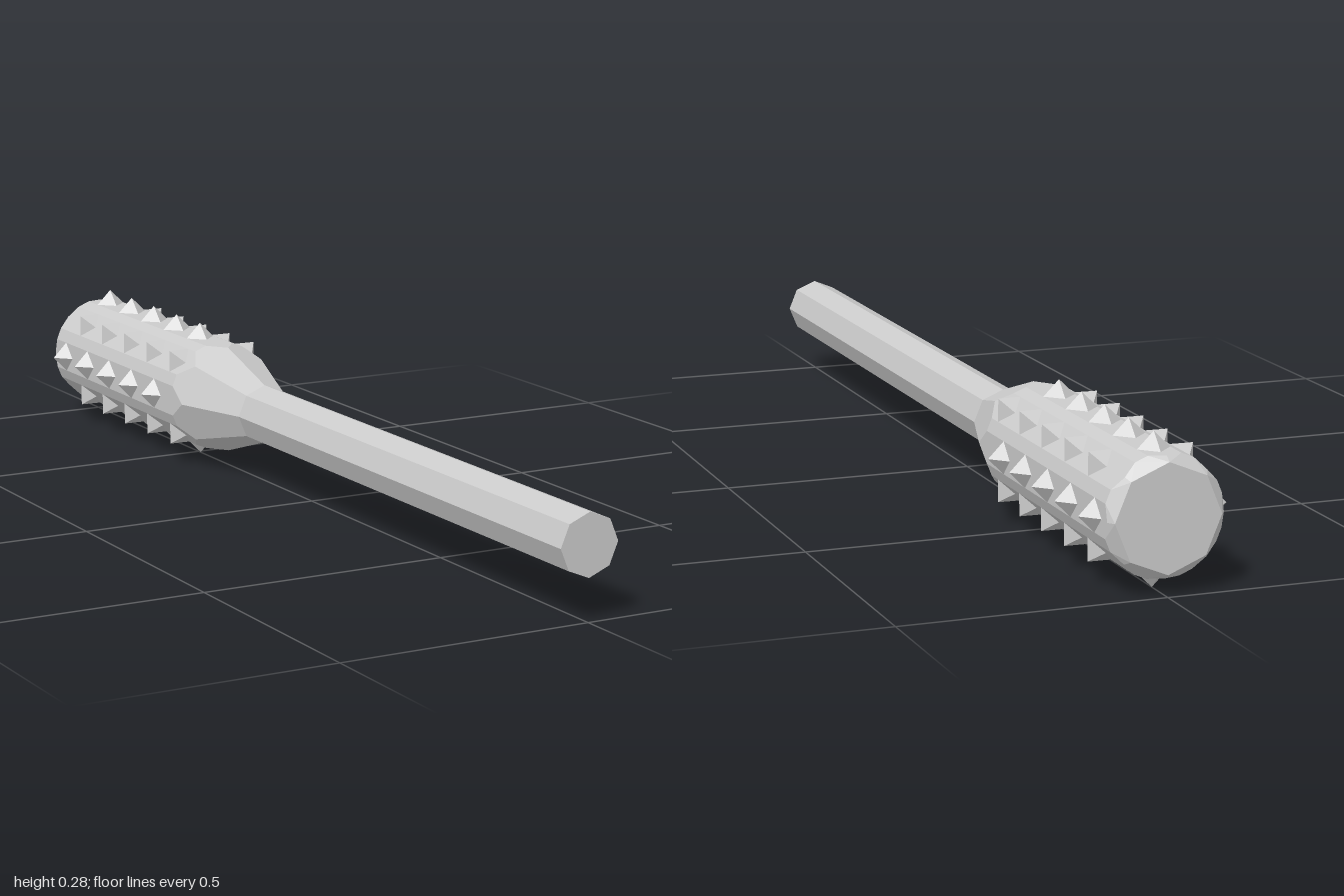
import * as THREE from 'three';
import { ConvexGeometry } from 'three/addons/geometries/ConvexGeometry.js';

const AXIS_Y = 0.141;
const HANDLE_R = 0.06;
const HEAD_R = 0.11; // distance from the axis to each main flat
const FLAT = 0.0315; // half width of each main flat

export function createModel() {
  const club = new THREE.Group();
  club.name = 'spikedClub';
  club.position.y = AXIS_Y;
  const material = new THREE.MeshStandardMaterial({ color: 0xcccccc, flatShading: true });

  const add = (name, geometry, parent = club) => {
    const mesh = new THREE.Mesh(geometry, material);
    mesh.name = name;
    parent.add(mesh);
    return mesh;
  };

  // Octagonal handle along z
  const handle = add('handle', new THREE.CylinderGeometry(HANDLE_R, HANDLE_R, 1.2, 8).rotateX(Math.PI / 2));
  handle.position.z = 0.4;

  // Head: eight flats with bevelled corners, tapering to the handle, chamfered at the end
  const points = [];
  for (let i = 0; i < 8; i++) {
    const a = (i * Math.PI) / 4;
    const put = (radius, side, z) => points.push(new THREE.Vector3(
      radius * Math.sin(a) + side * Math.cos(a),
      radius * Math.cos(a) - side * Math.sin(a),
      z
    ));
    put(HANDLE_R, 0, -0.2);
    put(HEAD_R, 0, -0.36);
    for (const side of [-FLAT, FLAT]) {
      put(HEAD_R, side, -0.402);
      put(HEAD_R, side, -0.978);
    }
    put(HEAD_R, 0, -0.987);
    put(0.101, 0, -1);
  }
  add('head', new ConvexGeometry(points));

  // Pyramid spikes: five on each flat, alternate rows staggered
  const spikeHeight = AXIS_Y - HEAD_R;
  const spike = new THREE.ConeGeometry(FLAT, spikeHeight, 4).translate(0, HEAD_R + spikeHeight / 2, 0);
  for (let i = 0; i < 8; i++) {
    const row = new THREE.Group();
    row.name = 'spikeRow';
    row.rotation.z = (i * Math.PI) / 4;
    club.add(row);
    const start = i % 2 ? -0.435 : -0.49;
    for (let k = 0; k < 5; k++) add('spike', spike, row).position.z = start - k * 0.11;
  }

  const model = new THREE.Group();
  model.name = 'model';
  model.add(club);
  return model;
}
